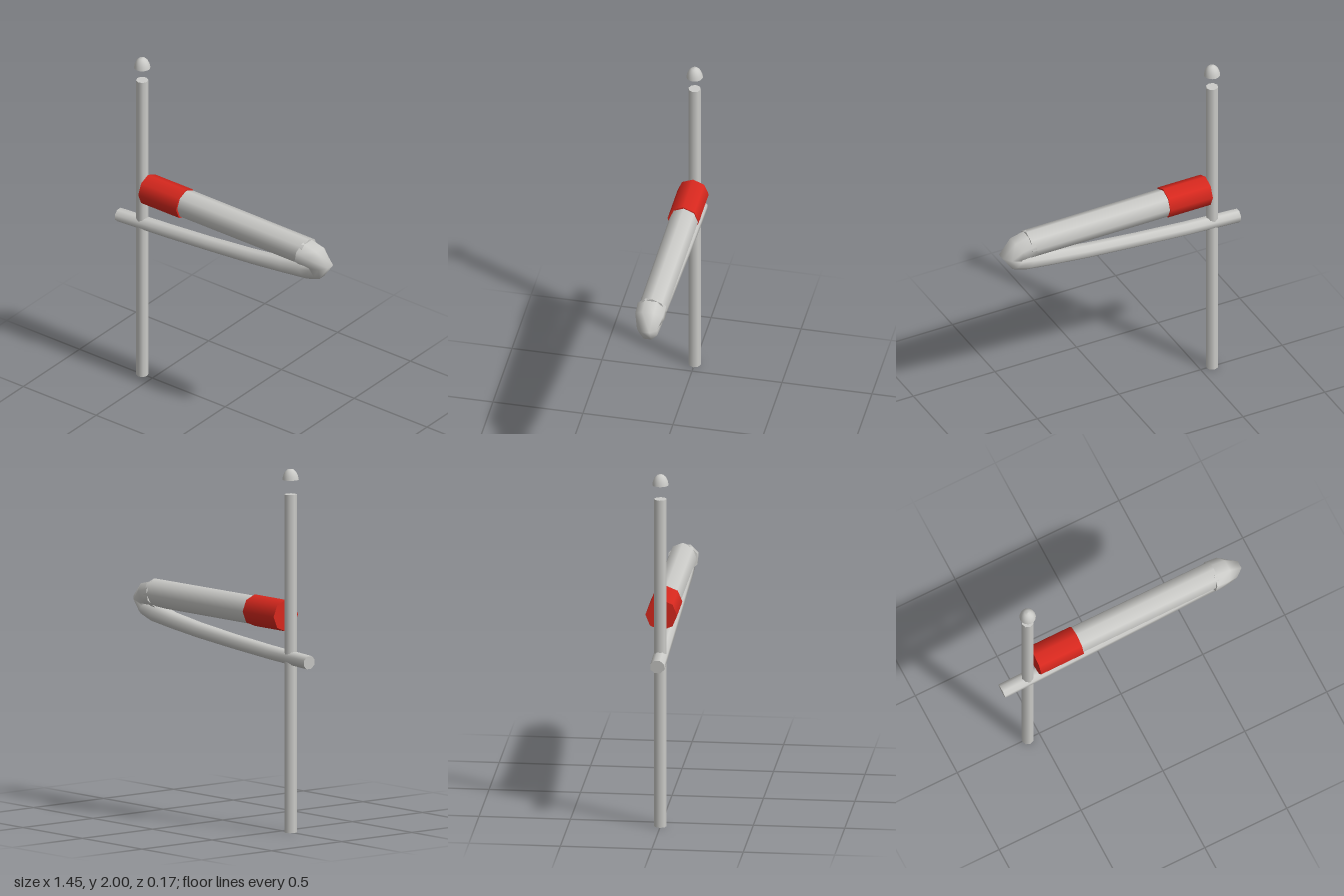
import * as THREE from 'three';

const SIDES = 8;

export function createModel() {
  const model = new THREE.Group();
  const grey = new THREE.MeshStandardMaterial({ color: 0xcbcbc8, side: THREE.DoubleSide });
  grey.name = 'light grey';
  const red = new THREE.MeshStandardMaterial({ color: 0xd8281e, side: THREE.DoubleSide });
  red.name = 'red';

  function add(name, geometry, material, x = 0, y = 0, z = 0) {
    const mesh = new THREE.Mesh(geometry, material);
    mesh.name = name;
    mesh.position.set(x, y, z);
    model.add(mesh);
    return mesh;
  }

  // Octagonal rod lying along x, with one corner at the top
  function rod(name, material, x0, x1, r0, r1, y, z) {
    const geometry = new THREE.CylinderGeometry(r1, r0, x1 - x0, SIDES);
    geometry.rotateZ(-Math.PI / 2);
    return add(name, geometry, material, (x0 + x1) / 2, y, z);
  }

  // Octagonal sweep; each section is [outerX, outerY, innerX, innerY, halfWidth]
  function sweep(sections) {
    const positions = [];
    const indices = [];
    const grow = 1 / Math.cos(Math.PI / SIDES);
    const ring = ([ox, oy, ix, iy, w]) => {
      for (let j = 0; j < SIDES; j++) {
        const a = (j + 0.5) / SIDES * Math.PI * 2;
        const c = Math.cos(a) * grow / 2;
        positions.push((ox + ix) / 2 + (ox - ix) * c, (oy + iy) / 2 + (oy - iy) * c, Math.sin(a) * w * grow);
      }
    };
    sections.forEach(ring);
    for (let i = 0; i < sections.length - 1; i++) {
      for (let j = 0; j < SIDES; j++) {
        const k = (j + 1) % SIDES;
        const a = i * SIDES + j, b = i * SIDES + k;
        indices.push(a, a + SIDES, b, b, a + SIDES, b + SIDES);
      }
    }
    // Separate end rings keep the cap edges sharp
    [sections[0], sections[sections.length - 1]].forEach((section, end) => {
      const start = positions.length / 3;
      ring(section);
      for (let j = 1; j < SIDES - 1; j++) {
        if (end) indices.push(start, start + j + 1, start + j);
        else indices.push(start, start + j, start + j + 1);
      }
    });
    const geometry = new THREE.BufferGeometry();
    geometry.setAttribute('position', new THREE.Float32BufferAttribute(positions, 3));
    geometry.setIndex(indices);
    geometry.computeVertexNormals();
    return geometry;
  }

  // Upright pole and the small dome floating above it
  add('pole', new THREE.CylinderGeometry(0.034, 0.034, 1.86, SIDES), grey, -0.57, 0.93, 0);
  const dome = [[0.045, 0], [0.041, 0.021], [0.031, 0.043], [0.017, 0.056], [0, 0.06]];
  add('poleCap', new THREE.LatheGeometry(dome.map(([x, y]) => new THREE.Vector2(x, y)), 16), grey, -0.57, 1.94, 0);

  // Upper arm with its red sleeve
  const arm = rod('upperArm', grey, -0.525, 0.57, 0.08, 0.078, 1.186, -0.003);
  arm.rotation.z = -0.003;
  rod('sleeve', red, -0.53, -0.27, 0.087, 0.087, 1.187, 0);

  // Elbow folding back into the slender, gently curved lower arm
  add('elbowAndLowerArm', sweep([
    [0.555, 1.252, 0.53, 1.11, 0.079],
    [0.65, 1.228, 0.56, 1.112, 0.077],
    [0.724, 1.148, 0.585, 1.115, 0.055],
    [0.664, 1.06, 0.60, 1.13, 0.05],
    [0.58, 1.03, 0.52, 1.115, 0.046],
    [0.42, 1.008, 0.40, 1.09, 0.042],
    [0.20, 0.983, 0.19, 1.061, 0.04],
    [-0.10, 0.957, -0.107, 1.031, 0.038],
    [-0.40, 0.935, -0.406, 1.007, 0.038],
    [-0.724, 0.916, -0.73, 0.987, 0.038],
  ]), grey);

  return model;
}
